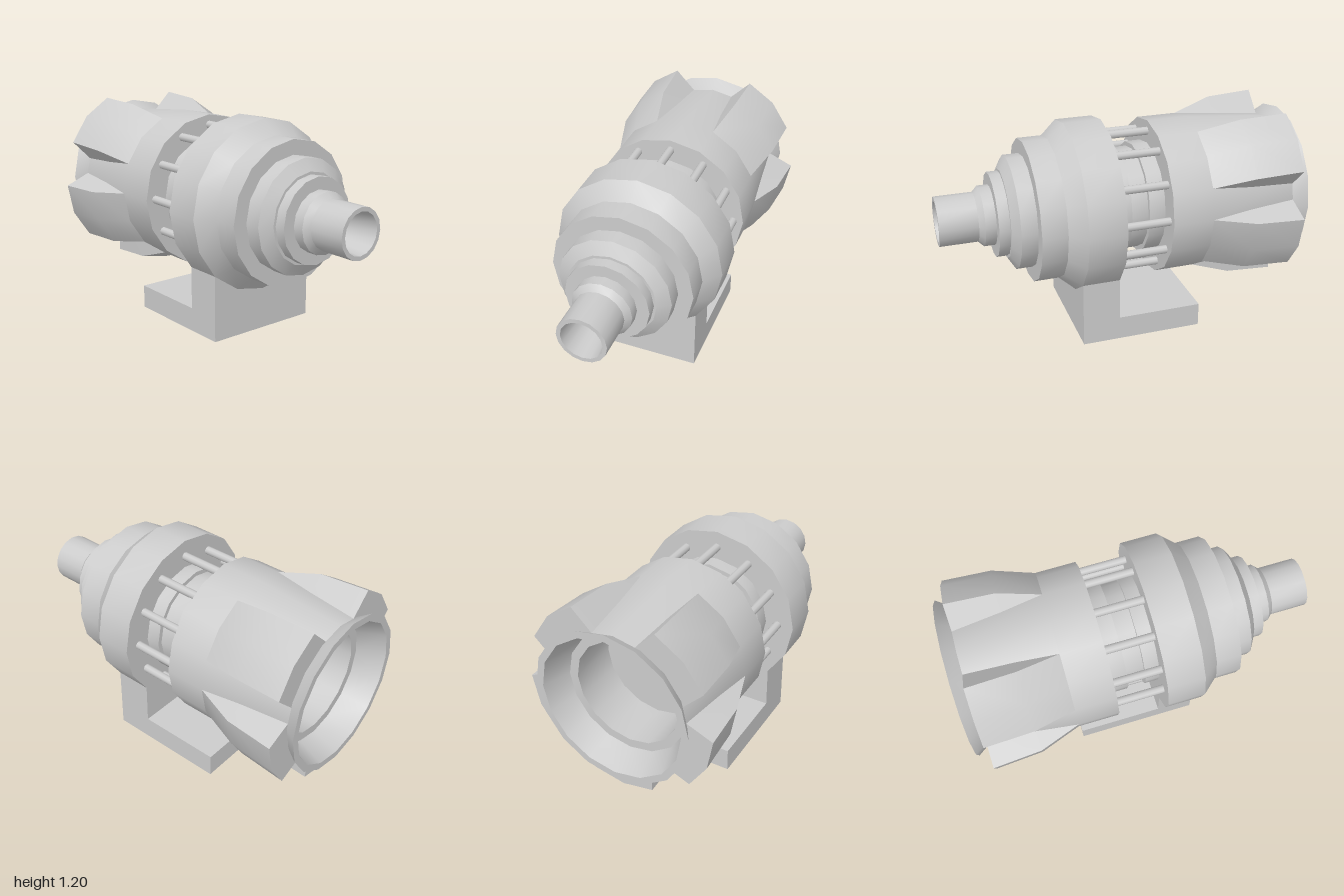
import * as THREE from 'three';
import { toCreasedNormals } from 'three/addons/utils/BufferGeometryUtils.js';

const AXIS_Y = 0.715;
const SIDES = 16;

export function createModel() {
  const model = new THREE.Group();
  const material = new THREE.MeshStandardMaterial({ color: 0xcccccc });

  const add = (name, geometry, parent = model) => {
    const mesh = new THREE.Mesh(geometry, material);
    mesh.name = name;
    parent.add(mesh);
    return mesh;
  };

  // Everything round shares one horizontal axis
  const body = new THREE.Group();
  body.name = 'body';
  body.position.y = AXIS_Y;
  model.add(body);

  // Turned part from [radius, z] points
  const turned = (name, profile) => {
    const points = profile.map(([r, z]) => new THREE.Vector2(r, z));
    const geometry = new THREE.LatheGeometry(points, SIDES).rotateX(Math.PI / 2);
    return add(name, toCreasedNormals(geometry, 0.5), body);
  };

  // Stepped front housing ending in a hollow barrel
  turned('frontHousing', [
    [0, 0.07], [0.48, 0.07], [0.48, 0.28], [0.4, 0.37], [0.4, 0.51],
    [0.317, 0.51], [0.317, 0.6], [0.25, 0.64], [0.235, 0.64], [0.235, 0.7],
    [0.167, 0.7], [0.167, 0.76], [0.137, 0.79], [0.137, 1], [0.114, 1],
    [0.09, 0.76], [0.068, 0.76], [0.068, 0.72], [0, 0.72],
  ]);

  // Spool inside the rod cage
  turned('cageCore', [
    [0.315, -0.2], [0.315, -0.11], [0.29, -0.11], [0.29, -0.01],
    [0.315, -0.01], [0.315, 0.07],
  ]);

  // Rear housing with a flared rim and a stepped open bore
  turned('rearHousing', [
    [0, -0.58], [0.3, -0.58], [0.3, -0.85], [0.35, -0.85], [0.405, -1],
    [0.445, -1], [0.398, -0.93], [0.445, -0.43], [0.445, -0.2], [0, -0.2],
  ]);

  // Ring of rods joining the two housings
  const rodGeometry = new THREE.CylinderGeometry(0.023, 0.023, 0.29, 10).rotateX(Math.PI / 2);
  for (let i = 0; i < 12; i++) {
    const a = (i / 12) * Math.PI * 2;
    add('cageRod', rodGeometry, body).position.set(0.385 * Math.sin(a), 0.385 * Math.cos(a), -0.065);
  }

  // Armour fins, each aligned with a corner of the housing
  const fin = finGeometry();
  for (const steps of [2, 5, 8, 11, 14]) {
    add('rearFin', fin, body).rotation.z = -(steps * 22.5 * Math.PI) / 180;
  }

  // L-shaped mounting foot, profile drawn as (-z, y) and extruded across x
  const foot = new THREE.Shape([
    [-0.28, 0], [0.41, 0], [0.41, 0.135], [-0.07, 0.135], [-0.07, 0.385], [-0.28, 0.385],
  ].map(([u, y]) => new THREE.Vector2(u, y)));
  const footGeometry = new THREE.ExtrudeGeometry(foot, { depth: 0.68, bevelEnabled: false });
  footGeometry.translate(0, 0, -0.34).rotateY(Math.PI / 2);
  add('mountingFoot', footGeometry);

  return model;
}

// Two-facet roof lofted through three stations along z
function finGeometry() {
  const stations = [ // z, half width, outer radius, inner radius
    [-0.43, 0.17, 0.445, 0.42],
    [-0.66, 0.178, 0.525, 0.4],
    [-0.93, 0.178, 0.543, 0.385],
  ];
  const slope = Math.tan(Math.PI / 16);
  const loops = stations.map(([z, w, outer, inner]) => [
    [-w, outer - w * slope, z], [0, outer, z], [w, outer - w * slope, z],
    [w, inner - w * slope, z], [0, inner, z], [-w, inner - w * slope, z],
  ]);
  const positions = [];
  const quad = (a, b, c, d) => positions.push(...a, ...b, ...c, ...a, ...c, ...d);
  for (let s = 0; s < 2; s++) {
    for (let i = 0; i < 6; i++) {
      const j = (i + 1) % 6;
      quad(loops[s][i], loops[s][j], loops[s + 1][j], loops[s + 1][i]);
    }
  }
  // End caps
  const [front, , back] = loops;
  quad(front[0], front[5], front[4], front[1]);
  quad(front[1], front[4], front[3], front[2]);
  quad(back[0], back[1], back[4], back[5]);
  quad(back[1], back[2], back[3], back[4]);
  const geometry = new THREE.BufferGeometry();
  geometry.setAttribute('position', new THREE.Float32BufferAttribute(positions, 3));
  return toCreasedNormals(geometry, 0.5);
}
